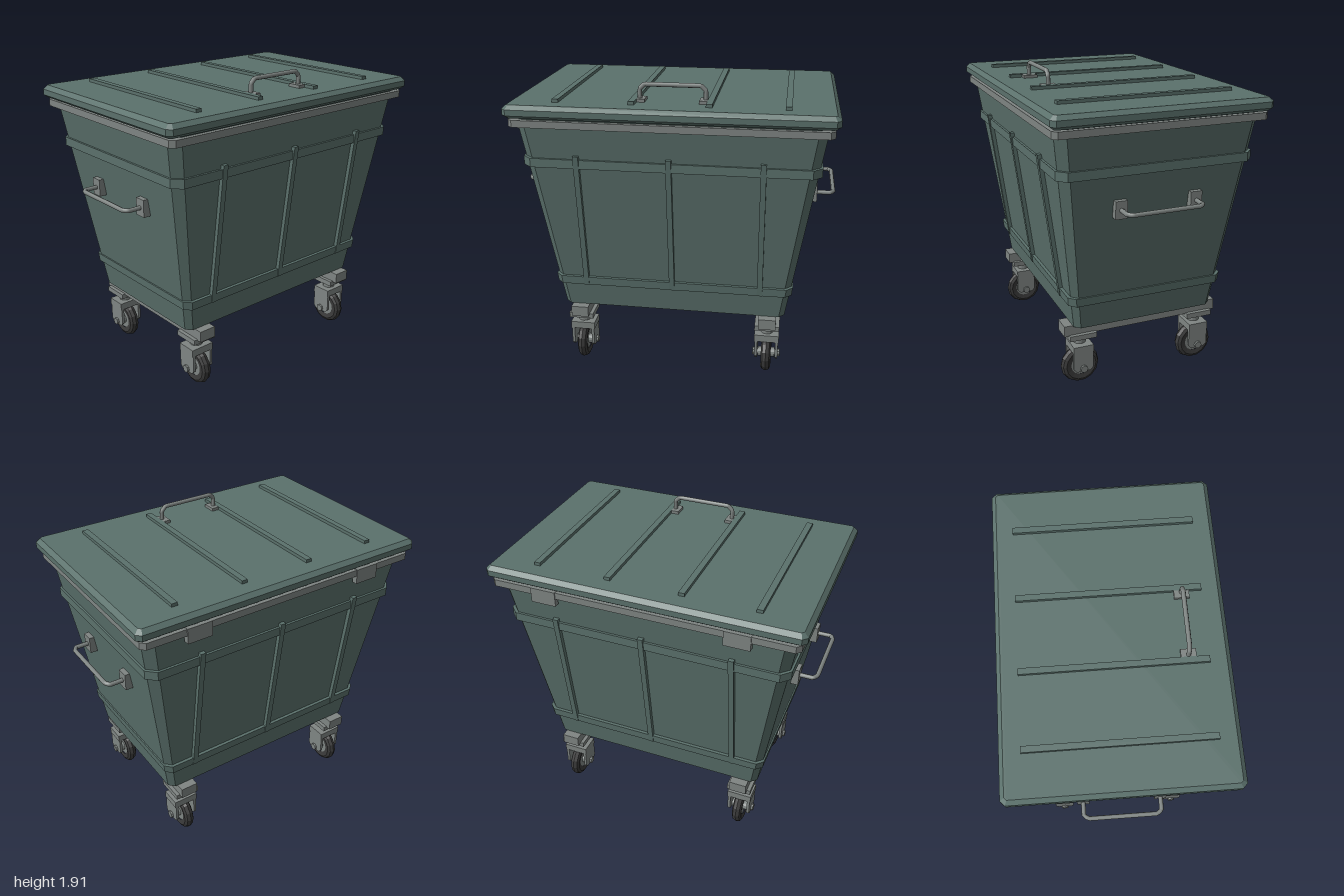
import * as THREE from 'three';

const green = new THREE.MeshStandardMaterial({ color: 0x5b716c });
green.name = 'binGreen';
const steel = new THREE.MeshStandardMaterial({ color: 0x7f8583 });
steel.name = 'steelGrey';
const rubber = new THREE.MeshStandardMaterial({ color: 0x3a3a3a });
rubber.name = 'tyreBlack';

function add(parent, name, geometry, material, x = 0, y = 0, z = 0) {
  const mesh = new THREE.Mesh(geometry, material);
  mesh.name = name;
  mesh.position.set(x, y, z);
  parent.add(mesh);
  return mesh;
}

function flat(geometry) {
  const g = geometry.index ? geometry.toNonIndexed() : geometry;
  g.computeVertexNormals();
  return g;
}

// Closed solid through chamfered rectangles: each ring is [y, halfX, halfZ, chamfer]
function loft(rings) {
  const pos = [];
  const loops = rings.map(([y, x, z, c]) => [
    [x, y, -z + c], [x, y, z - c], [x - c, y, z], [-x + c, y, z],
    [-x, y, z - c], [-x, y, -z + c], [-x + c, y, -z], [x - c, y, -z],
  ]);
  const tri = (...p) => p.forEach((v) => pos.push(...v));
  for (let r = 0; r < loops.length - 1; r++) {
    const a = loops[r], b = loops[r + 1];
    for (let i = 0; i < 8; i++) {
      const j = (i + 1) % 8;
      tri(a[i], b[i], b[j]);
      tri(a[i], b[j], a[j]);
    }
  }
  const bottom = loops[0], top = loops[loops.length - 1];
  for (let i = 1; i < 7; i++) {
    tri(bottom[0], bottom[i], bottom[i + 1]);
    tri(top[0], top[i + 1], top[i]);
  }
  const g = new THREE.BufferGeometry();
  g.setAttribute('position', new THREE.Float32BufferAttribute(pos, 3));
  g.computeVertexNormals();
  return g;
}

// Round bar along straight segments
function bar(points, radius) {
  const path = new THREE.CatmullRomCurve3(points.map((p) => new THREE.Vector3(...p)), false, 'catmullrom', 0);
  return new THREE.TubeGeometry(path, 48, radius, 8);
}

// Upright rib leaning outwards with the wall
function slopedRib() {
  const g = new THREE.BoxGeometry(0.034, 0.905, 0.06);
  const p = g.attributes.position;
  for (let i = 0; i < p.count; i++) {
    const t = p.getY(i) / 0.905 + 0.5;
    p.setZ(i, p.getZ(i) - 0.03 + 0.51 + 0.12 * t);
  }
  g.computeVertexNormals();
  return g;
}

function createCaster() {
  const caster = new THREE.Group();
  caster.name = 'caster';
  add(caster, 'mountPlate', new THREE.BoxGeometry(0.16, 0.034, 0.175), steel, 0, 0.345, 0);
  add(caster, 'swivel', flat(new THREE.CylinderGeometry(0.04, 0.04, 0.06, 12)), steel, 0, 0.305, 0);
  add(caster, 'forkCrown', new THREE.BoxGeometry(0.16, 0.047, 0.13), steel, 0, 0.257, 0);

  // Fork legs with chamfered lower corners
  const leg = new THREE.Shape([
    [-0.065, 0.25], [-0.065, 0.125], [-0.045, 0.105], [0.045, 0.105], [0.065, 0.125], [0.065, 0.25],
  ].map((p) => new THREE.Vector2(...p)));
  const legGeometry = new THREE.ExtrudeGeometry(leg, { depth: 0.018, bevelEnabled: false });
  legGeometry.translate(0, 0, -0.009);
  legGeometry.rotateY(Math.PI / 2);
  for (const s of [-1, 1]) add(caster, 'forkLeg', legGeometry, steel, s * 0.067, 0, 0);

  // Wheel
  const profile = [
    [0.065, -0.026], [0.098, -0.032], [0.116, -0.022], [0.125, 0],
    [0.116, 0.022], [0.098, 0.032], [0.065, 0.026],
  ].map((p) => new THREE.Vector2(...p));
  const parts = [
    ['tyre', new THREE.LatheGeometry(profile, 14), rubber],
    ['hubDisc', new THREE.CylinderGeometry(0.067, 0.067, 0.044, 14), steel],
    ['hub', new THREE.CylinderGeometry(0.032, 0.032, 0.11, 12), steel],
    ['axleBolt', new THREE.CylinderGeometry(0.024, 0.024, 0.18, 8), steel],
  ];
  for (const [name, geometry, material] of parts) {
    add(caster, name, flat(geometry), material, 0, 0.125, 0).rotation.z = Math.PI / 2;
  }
  return caster;
}

export function createModel() {
  const bin = new THREE.Group();
  bin.name = 'wheeledWasteContainer';

  // Tapered tub with two bands
  add(bin, 'tub', loft([[0.425, 0.722, 0.463, 0.035], [1.73, 0.928, 0.635, 0.058]]), green);
  add(bin, 'lowerBand', loft([[0.59, 0.76, 0.507, 0.04], [0.645, 0.766, 0.512, 0.04]]), green);
  add(bin, 'upperBand', loft([[1.415, 0.9, 0.615, 0.055], [1.47, 0.9, 0.615, 0.055]]), green);

  // Ribs on the front and back walls
  for (const turn of [0, Math.PI]) {
    for (const x of [-0.56, 0, 0.56]) {
      const side = new THREE.Group();
      side.name = 'wallRib';
      side.rotation.y = turn;
      add(side, 'rib', slopedRib(), green, x, 1.0425, 0);
      bin.add(side);
    }
  }

  // Rim and rear hinge brackets
  add(bin, 'rim', loft([[1.67, 0.955, 0.66, 0.028], [1.713, 0.955, 0.66, 0.028]]), steel);
  for (const x of [-0.6, 0.6]) {
    add(bin, 'hingeBracket', new THREE.BoxGeometry(0.16, 0.095, 0.035), steel, x, 1.668, -0.648);
  }

  // Lid with bevelled edge
  add(bin, 'lid', loft([
    [1.722, 0.957, 0.65, 0.014], [1.742, 0.983, 0.676, 0.028],
    [1.778, 0.983, 0.676, 0.028], [1.803, 0.957, 0.65, 0.014],
  ]), green);
  for (const x of [-0.687, -0.23, 0.23, 0.687]) {
    add(bin, 'lidRib', new THREE.BoxGeometry(0.038, 0.03, 1.1), green, x, 1.808, 0);
  }

  // Lid handle
  for (const s of [-1, 1]) {
    add(bin, 'lidHandleFoot', new THREE.BoxGeometry(0.085, 0.022, 0.09), steel, s * 0.205, 1.811, 0.43);
  }
  add(bin, 'lidHandle', bar([
    [-0.198, 1.81, 0.43], [-0.198, 1.875, 0.43], [-0.17, 1.903, 0.43],
    [0.17, 1.903, 0.43], [0.198, 1.875, 0.43], [0.198, 1.81, 0.43],
  ], 0.014), steel);

  // Side handles
  for (const s of [-1, 1]) {
    for (const z of [-0.238, 0.238]) {
      add(bin, 'sideHandlePlate', new THREE.BoxGeometry(0.055, 0.108, 0.074), steel, s * 0.858, 1.211, z);
    }
    add(bin, 'sideHandle', bar([
      [s * 0.86, 1.21, -0.238], [s * 0.965, 1.21, -0.238], [s * 0.986, 1.21, -0.21],
      [s * 0.986, 1.21, 0.21], [s * 0.965, 1.21, 0.238], [s * 0.86, 1.21, 0.238],
    ], 0.014), steel);
  }

  // Chassis beams and casters
  for (const x of [-0.615, 0.615]) {
    add(bin, 'chassisBeam', new THREE.BoxGeometry(0.112, 0.07, 1.034), steel, x, 0.39, 0);
    for (const z of [-0.4, 0.4]) {
      const caster = createCaster();
      caster.position.set(x, 0, z);
      bin.add(caster);
    }
  }
  return bin;
}
